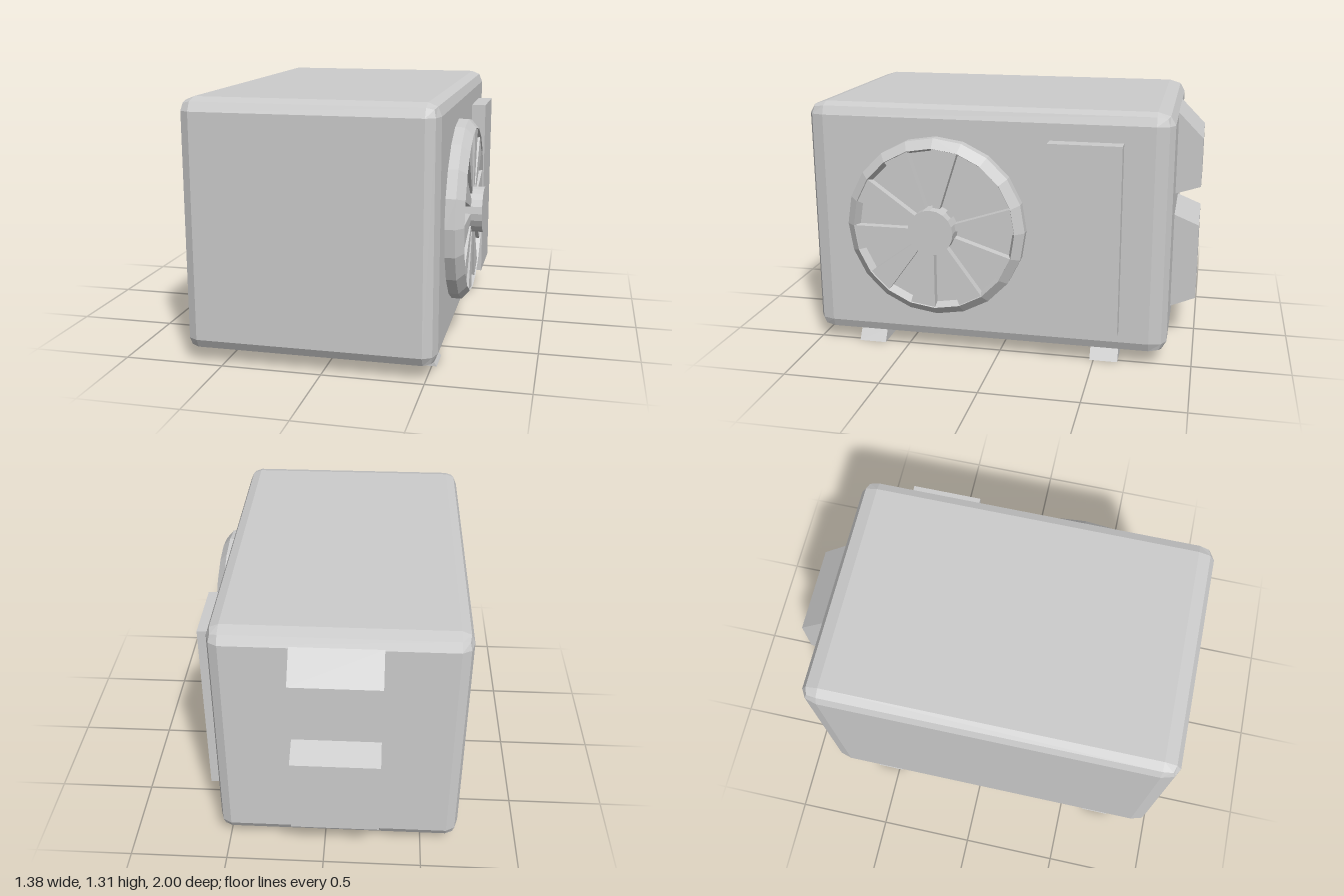
import * as THREE from 'three';
import { RoundedBoxGeometry } from 'three/addons/geometries/RoundedBoxGeometry.js';

const material = new THREE.MeshStandardMaterial({ color: 0xcccccc, flatShading: true });
const shellMaterial = new THREE.MeshStandardMaterial({ color: 0xcccccc, flatShading: true, side: THREE.DoubleSide });

function polygon(points) {
  return new THREE.Shape(points.map(([x, y]) => new THREE.Vector2(x, y)));
}

function extrude(shapes, depth) {
  return new THREE.ExtrudeGeometry(shapes, { depth, bevelEnabled: false });
}

function addMesh(parent, name, geometry, x = 0, y = 0, z = 0, mat = material) {
  const mesh = new THREE.Mesh(geometry, mat);
  mesh.name = name;
  mesh.position.set(x, y, z);
  parent.add(mesh);
  return mesh;
}

// Bevelled casing without its flat bottom face
function casingGeometry(width, height, depth, radius, stretch) {
  const geometry = new RoundedBoxGeometry(width, height, depth / stretch, 1, radius);
  geometry.scale(1, 1, stretch);
  const source = geometry.attributes.position;
  const kept = [];
  for (let i = 0; i < source.count; i += 3) {
    const corners = [i, i + 1, i + 2];
    if (corners.every((k) => source.getY(k) < -height / 2 + 1e-4)) continue;
    corners.forEach((k) => kept.push(source.getX(k), source.getY(k), source.getZ(k)));
  }
  const open = new THREE.BufferGeometry();
  open.setAttribute('position', new THREE.Float32BufferAttribute(kept, 3));
  open.computeVertexNormals();
  return open;
}

// Round grille facing +x, built on a 20-sided plan
function createFan() {
  const fan = new THREE.Group();
  fan.name = 'fan';
  const sides = 20;

  // Chamfered rim with a sunken floor
  const rim = [[0.465, 0], [0.465, 0.05], [0.42, 0.09], [0.402, 0.04], [0, 0.04]];
  const rimGeometry = new THREE.LatheGeometry(rim.map(([r, h]) => new THREE.Vector2(r, h)), sides);
  addMesh(fan, 'fanRim', rimGeometry.rotateZ(-Math.PI / 2));

  // Raised wedge in every second sector
  const step = (2 * Math.PI) / sides;
  const spokes = [];
  for (let i = 0; i < sides; i += 2) {
    const a = Math.PI / 2 + i * step;
    const b = a - step;
    const at = (r, t) => [r * Math.cos(t), r * Math.sin(t)];
    spokes.push(polygon([at(0.1, b), at(0.417, b), at(0.417, a), at(0.1, a)]));
  }
  addMesh(fan, 'fanSpokes', extrude(spokes, 0.046).rotateY(Math.PI / 2), 0.038);

  const hub = new THREE.CylinderGeometry(0.117, 0.117, 0.11, sides).rotateZ(-Math.PI / 2);
  addMesh(fan, 'fanHub', hub, 0.085);
  return fan;
}

export function createModel() {
  const model = new THREE.Group();
  model.name = 'airConditionerUnit';

  addMesh(model, 'casing', casingGeometry(1.24, 1.245, 1.87, 0.063, 1.4), -0.07, 0.683, 0.065, shellMaterial);

  // Flared foot rails
  const rail = polygon([[-0.67, 0], [0.525, 0], [0.485, 0.062], [-0.63, 0.062]]);
  for (const z of [0.63, -0.625]) addMesh(model, 'footRail', extrude(rail, 0.145), 0, 0, z);

  const fan = createFan();
  fan.position.set(0.55, 0.69, 0.313);
  model.add(fan);

  // Side panel beside the fan
  addMesh(model, 'sidePanel', new THREE.BoxGeometry(0.076, 0.97, 0.365), 0.588, 0.672, -0.447);

  // Back covers with sloped tops and bottoms: wall bottom, outer bottom, outer top, wall top
  for (const [a, b, c, d] of [[0.82, 0.862, 1.118, 1.25], [0.19, 0.245, 0.652, 0.705]]) {
    const profile = polygon([[0.87, a], [1, b], [1, c], [0.87, d]]);
    addMesh(model, 'backCover', extrude(profile, 0.44).rotateY(Math.PI / 2), -0.28);
  }
  return model;
}
